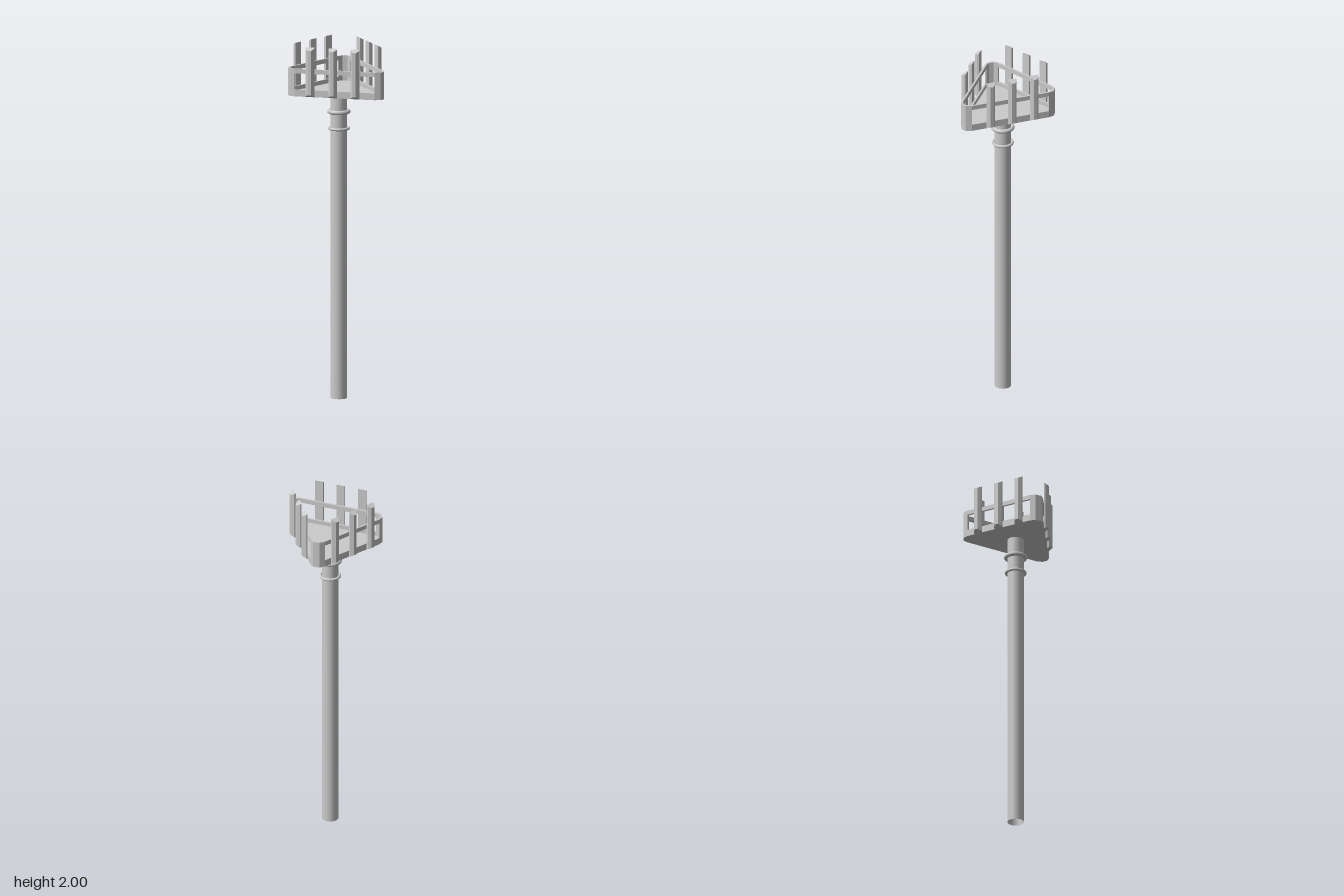
import * as THREE from 'three';

const material = new THREE.MeshStandardMaterial({ color: 0xcccccc, flatShading: true });
const smooth = new THREE.MeshStandardMaterial({ color: 0xcccccc, side: THREE.DoubleSide });
const POLE_X = -0.055, WALL = 0.011, BASE = 1.72;

// Rounded triangle outline, one half mirrored to the other
const half = [[0.263, 0.015], [0.24, 0.04], [-0.17, 0.243], [-0.2, 0.25], [-0.23, 0.23], [-0.24, 0.2]]
  .map(([x, y]) => new THREE.Vector2(x, y));
const outline = [...half, ...half.map(p => new THREE.Vector2(p.x, -p.y)).reverse()];

// Even inward offset with mitred corners
function inset(points, t) {
  const normal = (a, b) => new THREE.Vector2(a.y - b.y, b.x - a.x).normalize();
  return points.map((p, i) => {
    const n1 = normal(points.at(i - 1), p);
    const n2 = normal(p, points[(i + 1) % points.length]);
    return p.clone().addScaledVector(n1.clone().add(n2), t / (1 + n1.dot(n2)));
  });
}
const inner = inset(outline, WALL);

function addMesh(group, name, geometry, mat = material) {
  const mesh = new THREE.Mesh(geometry, mat);
  mesh.name = name;
  group.add(mesh);
  return mesh;
}

// Extrude a plan shape upward
function slab(points, y0, y1, hole) {
  const shape = new THREE.Shape(points);
  if (hole) shape.holes.push(new THREE.Path(hole));
  return new THREE.ExtrudeGeometry(shape, { depth: y1 - y0, bevelEnabled: false })
    .rotateX(-Math.PI / 2).translate(0, y0, 0);
}

// Half-hexagonal panel whose ends slope away from the wall
function antennaGeometry() {
  const profile = [[-0.024, 0], [0.024, 0], [0.024, 0.01], [0.01, 0.027], [-0.01, 0.027], [-0.024, 0.01]];
  const geometry = slab(profile.map(([x, y]) => new THREE.Vector2(x, y)), BASE, 2);
  const pos = geometry.attributes.position;
  for (let i = 0; i < pos.count; i++) {
    const slope = -pos.getZ(i) * 0.55;
    pos.setY(i, pos.getY(i) + (pos.getY(i) > 1.85 ? -slope : slope));
  }
  geometry.computeVertexNormals();
  return geometry;
}

export function createModel() {
  const model = new THREE.Group();
  model.name = 'antennaTower';

  // Pole, open at the foot, with two collars
  addMesh(model, 'pole', new THREE.CylinderGeometry(0.046, 0.046, BASE, 32, 1, true), smooth)
    .position.set(POLE_X, BASE / 2, 0);
  for (const [y, tube] of [[1.615, 0.012], [1.52, 0.008]]) {
    const collar = addMesh(model, 'collar', new THREE.TorusGeometry(0.053, tube, 10, 32), smooth);
    collar.rotation.x = Math.PI / 2;
    collar.position.set(POLE_X, y, 0);
  }

  // Triangular platform: floor, lower band, top rail and corner walls
  const platform = new THREE.Group();
  platform.name = 'platform';
  model.add(platform);
  addMesh(platform, 'floor', slab(inner, BASE, 1.735));
  addMesh(platform, 'lowerBand', slab(outline, BASE, 1.758, inner));
  addMesh(platform, 'topRail', slab(outline, 1.85, 1.875, inner));
  for (const corner of [[2, 3, 4, 5], [6, 7, 8, 9], [10, 11, 0, 1]]) {
    const wall = [...corner.map(i => outline[i]), ...corner.map(i => inner[i]).reverse()];
    addMesh(platform, 'cornerWall', slab(wall, 1.758, 1.85));
  }

  // Three antennas on each side
  const antennas = new THREE.Group();
  antennas.name = 'antennas';
  model.add(antennas);
  const geometry = antennaGeometry();
  const place = (x, z, nx, nz) => {
    const antenna = addMesh(antennas, 'antenna', geometry);
    antenna.position.set(x, 0, z);
    antenna.rotation.y = Math.atan2(-nx, -nz);
  };
  for (const z of [-0.13, 0, 0.13]) place(-0.24, z, -1, 0);
  for (const side of [1, -1]) {
    for (const x of [-0.089, 0.027, 0.141]) {
      place(x, side * (0.243 - 0.495 * (x + 0.17)), 0.444, side * 0.896);
    }
  }
  return model;
}
